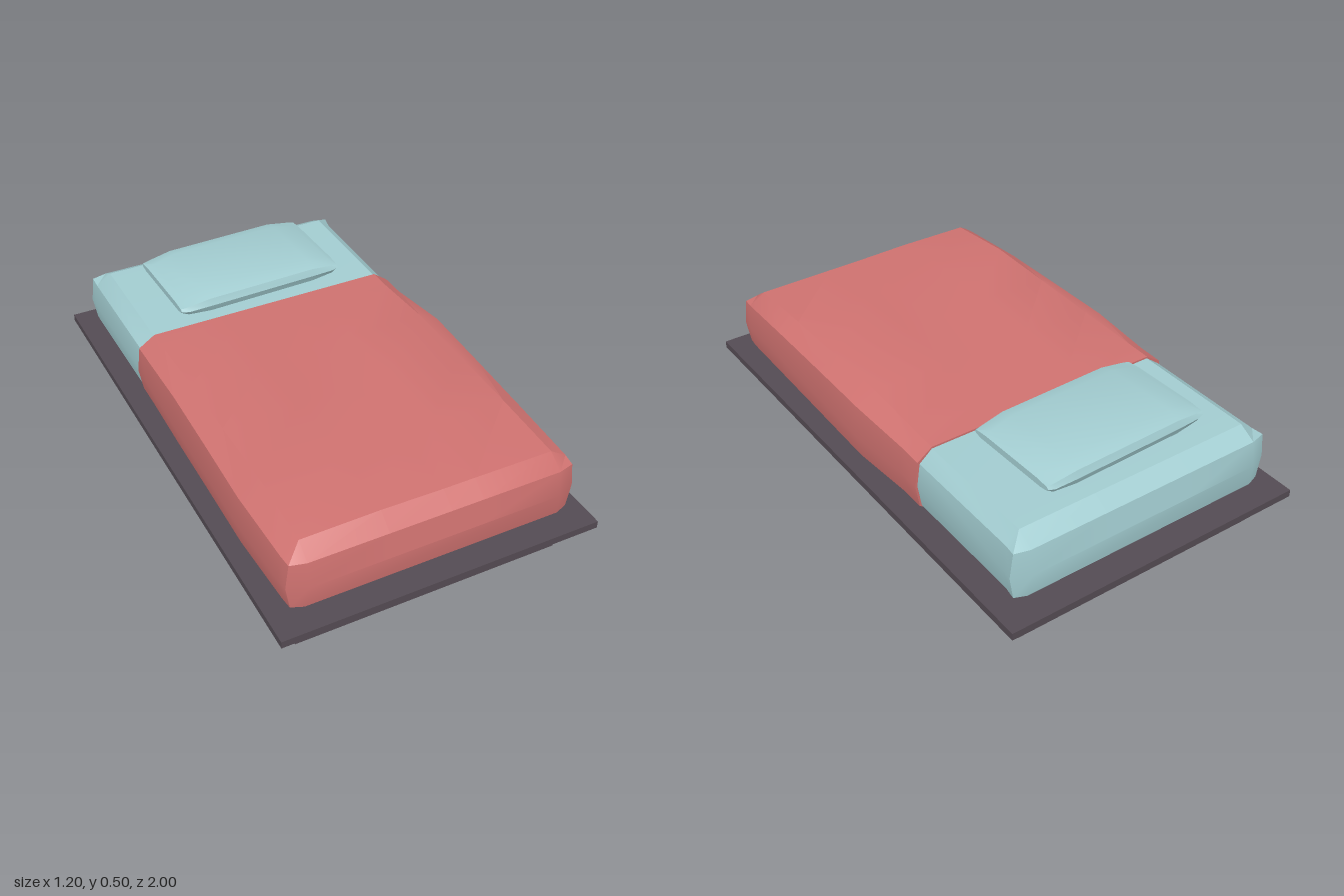
import * as THREE from 'three';
import { toCreasedNormals } from 'three/addons/utils/BufferGeometryUtils.js';

// Skin a list of closed rings (counter-clockwise seen from +z, ordered towards +z), capped at both ends.
function loft(rings, crease = 0.5) {
  const n = rings[0].length, pos = [], index = [];
  rings.forEach(r => r.forEach(p => pos.push(...p)));
  for (let k = 0; k < rings.length - 1; k++) {
    for (let i = 0; i < n; i++) {
      const a = k * n + i, b = k * n + (i + 1) % n;
      index.push(a, b, b + n, a, b + n, a + n);
    }
  }
  const last = (rings.length - 1) * n;
  for (let i = 1; i < n - 1; i++) {
    index.push(0, i + 1, i, last, last + i, last + i + 1);
  }
  const g = new THREE.BufferGeometry();
  g.setAttribute('position', new THREE.Float32BufferAttribute(pos, 3));
  g.setIndex(index);
  return toCreasedNormals(g.toNonIndexed(), crease);
}

// Soft rectangular section: l / r are side bulges, tops are heights across the top from right to left.
const TOP_X = [0.47, 0.17, 0.05, -0.18, -0.47];
function section(z, l, r, tops, shoulder = 0.375) {
  return [
    [-0.48, 0.16, z], [0.48, 0.16, z],
    [r - 0.015, 0.19, z], [r, 0.28, z], [r - 0.012, shoulder, z],
    ...tops.map((y, i) => [TOP_X[i], y, z]),
    [-l + 0.012, shoulder, z], [-l, 0.28, z], [-l + 0.015, 0.19, z],
  ];
}

// Rounded end: corner ring, then a ridge at mid height; s is the direction of the end.
function roundEnd(s, z) {
  const corner = section(0, 0.54, 0.54, [0.375, 0.375, 0.375, 0.375, 0.375])
    .map(([x, y]) => [x, Math.max(y, 0.187), s * (Math.abs(x) > 0.5 ? z - 0.015 : z)]);
  const ridge = corner.map(([x]) => [Math.max(-0.47, Math.min(0.47, x)), 0.28, s * (z + 0.015)]);
  return s > 0 ? [corner, ridge] : [ridge, corner];
}

// Eight-sided cushion section
function cushion(z, w, y0, y1) {
  const h = y1 - y0, c = w * 0.8, m = w * 0.95;
  return [
    [-c, y0, z], [c, y0, z], [m, y0 + h * 0.2, z], [w, y0 + h * 0.5, z], [m, y1 - h * 0.2, z],
    [c * 0.85, y1, z], [-c * 0.85, y1, z], [-m, y1 - h * 0.2, z], [-w, y0 + h * 0.5, z], [-m, y0 + h * 0.2, z],
  ];
}

export function createModel() {
  const frameMat = new THREE.MeshStandardMaterial({ color: 0x544b53 });
  const sheetMat = new THREE.MeshStandardMaterial({ color: 0xa2ccd0 });
  const blanketMat = new THREE.MeshStandardMaterial({ color: 0xcf7270 });
  frameMat.name = 'dark frame';
  sheetMat.name = 'pale blue linen';
  blanketMat.name = 'red blanket';

  const bed = new THREE.Group();
  bed.name = 'bed';
  const add = (name, geometry, material) => {
    const mesh = new THREE.Mesh(geometry, material);
    mesh.name = name;
    bed.add(mesh);
    return mesh;
  };

  // Plinth and overhanging platform
  add('plinth', new THREE.BoxGeometry(1.01, 0.132, 1.8), frameMat).position.y = 0.066;
  add('platform', new THREE.BoxGeometry(1.2, 0.028, 2), frameMat).position.y = 0.146;

  // Mattress, running under the blanket
  const flat = y => [y, y, y, y, y];
  add('mattress', loft([
    ...roundEnd(-1, 0.915),
    section(-0.85, 0.54, 0.532, flat(0.412), 0.37),
    section(-0.34, 0.538, 0.532, flat(0.413), 0.37),
    section(-0.2, 0.52, 0.51, flat(0.405), 0.36),
    section(0.8, 0.51, 0.51, flat(0.4), 0.36),
  ]), sheetMat);

  // Blanket with gentle folds
  add('blanket', loft([
    section(-0.36, 0.545, 0.54, flat(0.42), 0.378),
    section(-0.26, 0.545, 0.54, [0.422, 0.425, 0.422, 0.424, 0.422], 0.38),
    section(0, 0.55, 0.56, [0.44, 0.447, 0.432, 0.435, 0.428], 0.4),
    section(0.28, 0.553, 0.555, [0.436, 0.442, 0.432, 0.446, 0.436], 0.395),
    section(0.57, 0.557, 0.55, [0.43, 0.436, 0.432, 0.459, 0.445], 0.388),
    section(0.86, 0.545, 0.545, [0.418, 0.42, 0.42, 0.424, 0.42], 0.378),
    ...roundEnd(1, 0.922),
  ]), blanketMat);

  // Pillow, laid slightly askew
  const pillow = loft([
    cushion(-0.34, 0.195, 0.45, 0.475),
    cushion(-0.31, 0.2, 0.431, 0.485),
    cushion(-0.22, 0.206, 0.418, 0.505),
    cushion(0.22, 0.206, 0.418, 0.505),
    cushion(0.31, 0.2, 0.431, 0.485),
    cushion(0.335, 0.195, 0.45, 0.475),
  ]).rotateY(Math.PI / 2);
  const pillowMesh = add('pillow', pillow, sheetMat);
  pillowMesh.position.set(-0.008, 0, -0.597);
  pillowMesh.rotation.y = 0.03;

  return bed;
}
